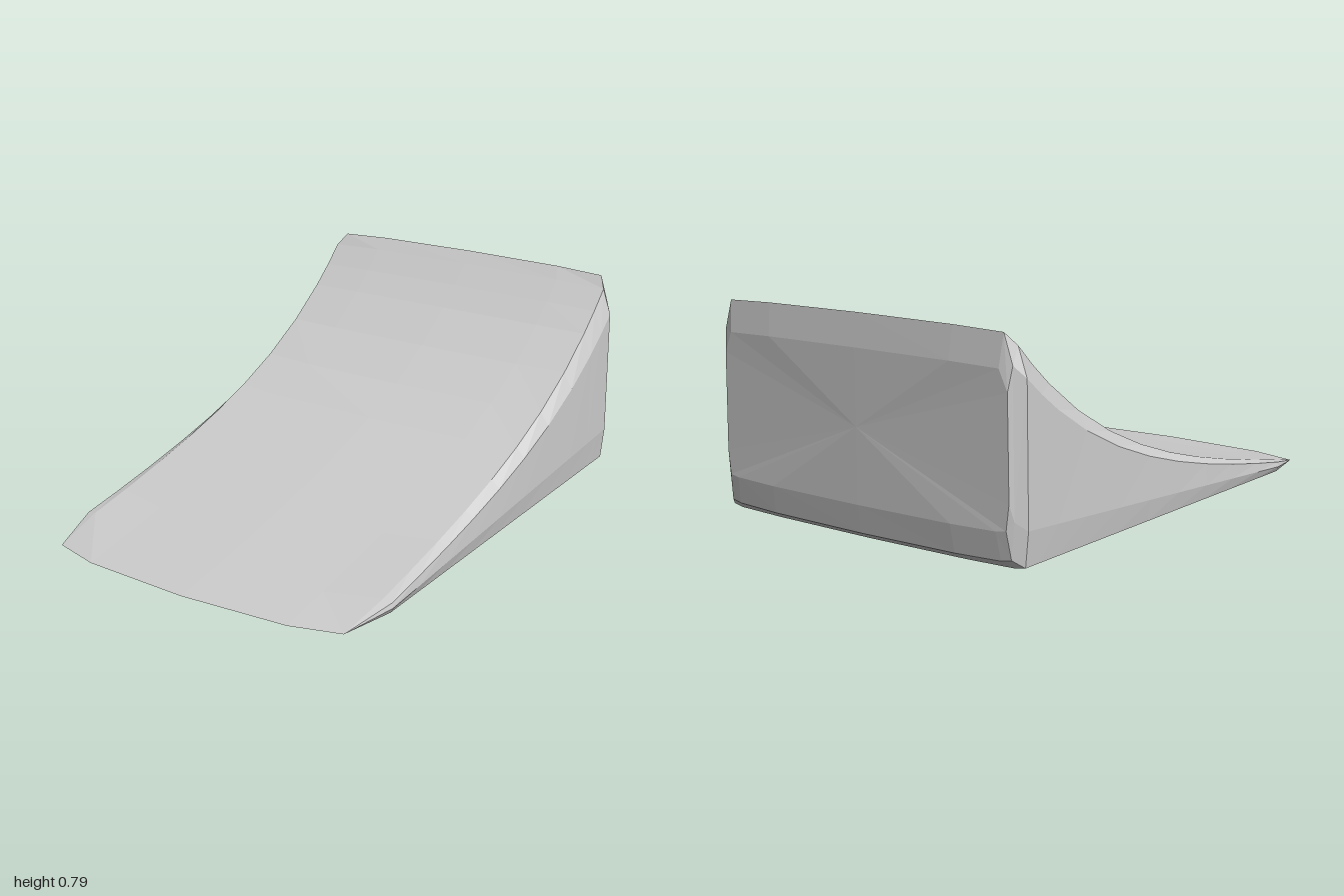
import * as THREE from 'three';

// Height of the curved riding surface at depth z
const rampHeight = (z) => {
  const u = (1 - z) / 2;
  return 0.006 + 0.3 * u + 0.2 * u ** 2 + 0.3 * u ** 5;
};

// Half of a cross-section: bottom centre, round the side, to top centre.
// front = where the column of this point starts at the thin lip.
function halfSection(z0) {
  const t = (1 - z0) / 1.94;
  const columns = [
    { x: 0, front: 1 }, { x: 0.43, front: 0.975 }, { x: 0.625, front: 0.92 },
    { x: 0.668, front: 0.92 }, { x: 0.68, front: 0.92 }, { x: 0.675, front: 0.92 },
    { x: 0.64, front: 0.92 }, { x: 0.43, front: 0.975 }, { x: 0, front: 1 },
  ];
  const spread = Math.min(1, t / 0.11);
  return columns.map(({ x, front }, i) => {
    const z = THREE.MathUtils.lerp(front, -0.94, t);
    const h = rampHeight(z);
    const low = Math.min(0.035 * (1 - z), h * 0.5);
    const ys = [0, 0.003, 0.008, 0.006 + 0.01 * t, low * 2 > h ? h * 0.45 : 0.008 + 0.068 * (1 - z),
      h * 0.85, h - 0.01 * t, h - 0.003, h];
    const y = t === 0 ? 0.006 : Math.min(ys[i], h);
    const px = x > 0.62 ? 0.62 + (x - 0.62) * spread : x;
    return new THREE.Vector3(px, y, z);
  });
}

// Mirror a half section into a closed ring
const closeRing = (half) => [
  ...half,
  ...half.slice(1, -1).reverse().map((p) => new THREE.Vector3(-p.x, p.y, p.z)),
];

// Shrink a ring into one of the rounded steps of the back wall
const backRing = (ring, scaleX, y0, y1, z) => {
  const top = Math.max(...ring.map((p) => p.y));
  return ring.map((p) => new THREE.Vector3(
    p.x * scaleX,
    y0 + (p.y / top) * (y1 - y0),
    z + 0.012 * Math.abs(p.x / 0.68) ** 4,
  ));
};

function loft(rings) {
  const positions = [];
  const tri = (...pts) => pts.forEach((p) => positions.push(p.x, p.y, p.z));
  const n = rings[0].length;
  for (let i = 0; i < rings.length - 1; i++) {
    for (let j = 0; j < n; j++) {
      const k = (j + 1) % n;
      const a = rings[i][j], b = rings[i][k], c = rings[i + 1][k], d = rings[i + 1][j];
      tri(a, c, b);
      tri(a, d, c);
    }
  }
  // Back wall
  const last = rings[rings.length - 1];
  const centre = new THREE.Vector3(0, 0.4, -1);
  for (let j = 0; j < n; j++) tri(centre, last[(j + 1) % n], last[j]);
  const geometry = new THREE.BufferGeometry();
  geometry.setAttribute('position', new THREE.Float32BufferAttribute(positions, 3));
  geometry.computeVertexNormals();
  return geometry;
}

export function createModel() {
  const group = new THREE.Group();
  group.name = 'ramp';

  // Sections from the thin front lip to the tall back
  const stations = [1, 0.78, 0.6, 0.4, 0.2, 0, -0.2, -0.4, -0.6, -0.77, -0.86, -0.94];
  const rings = stations.map((z) => closeRing(halfSection(z)));
  const end = rings[rings.length - 1];
  rings.push(backRing(end, 0.955, 0.028, 0.787, -0.985));
  rings.push(backRing(end, 0.94, 0.13, 0.67, -1));

  const body = new THREE.Mesh(
    loft(rings),
    new THREE.MeshStandardMaterial({ color: 0xcccccc, flatShading: true }),
  );
  body.name = 'rampBody';
  group.add(body);
  return group;
}
